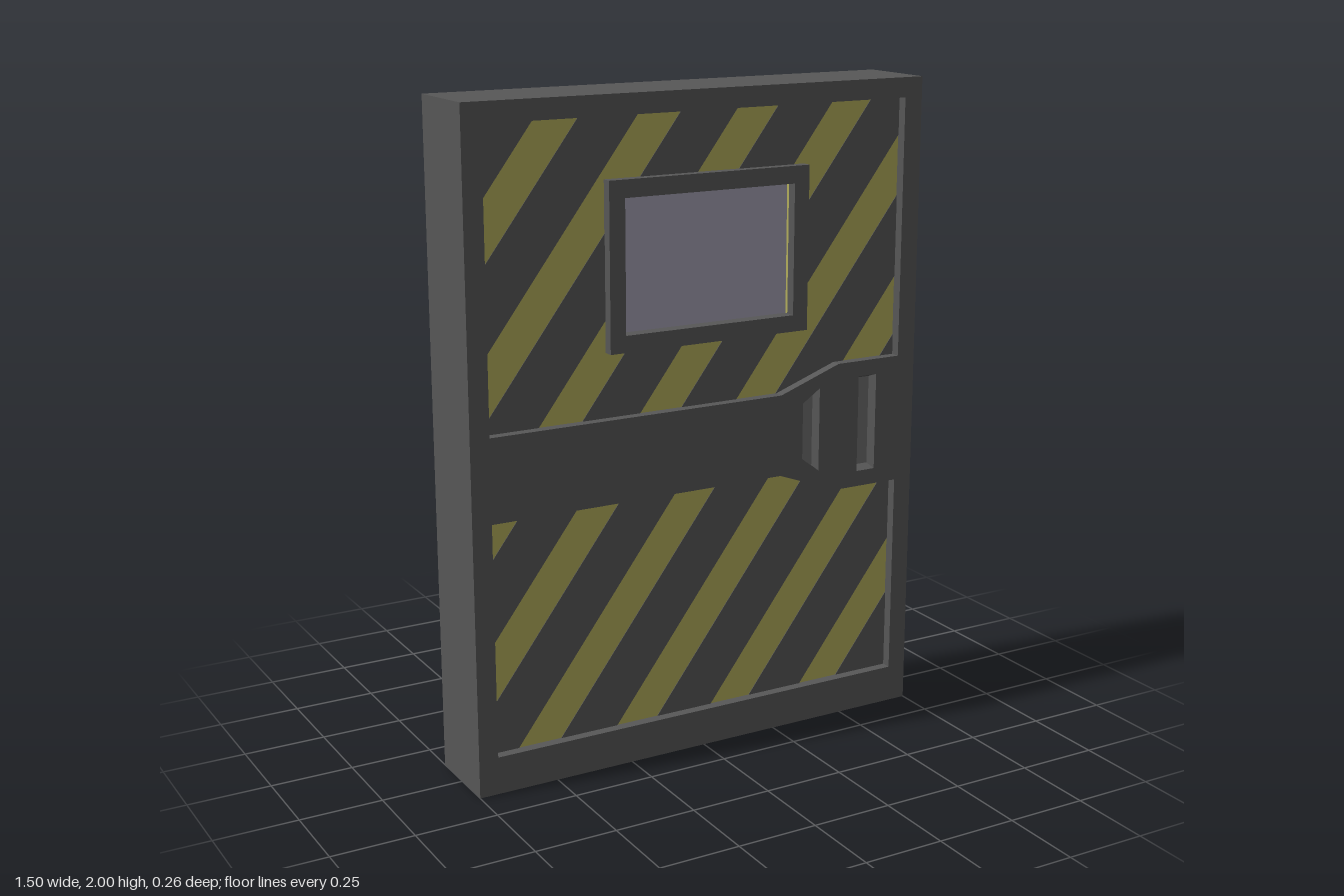
import * as THREE from 'three';

const material = (color) => new THREE.MeshStandardMaterial({ color, flatShading: true });
const grey = material(0x575757);
const slotGrey = material(0x6c6c6c);
const yellow = material(0xb2ad5b);
const glass = material(0xa29eb0);

// Depths measured from the middle of the slab
const FACE = 0.13, BAR = 0.1, SHEET_FRONT = 0.098, SHEET_BACK = 0.073, PANE = 0.088, SLOT = 0.1;

const points = (list) => list.map(([x, y]) => new THREE.Vector2(x, y));
const rect = (x0, x1, y0, y1) => [[x0, y0], [x1, y0], [x1, y1], [x0, y1]];

// Flat outline with holes, extruded between two depths
function slab(name, outline, holes, z0, z1, mat) {
  const shape = new THREE.Shape(points(outline));
  for (const hole of holes) shape.holes.push(new THREE.Path(points(hole)));
  const geometry = new THREE.ExtrudeGeometry(shape, { depth: z1 - z0, bevelEnabled: false });
  geometry.translate(0, 0, z0);
  const mesh = new THREE.Mesh(geometry, mat);
  mesh.name = name;
  return mesh;
}

// Keeps the part of a convex polygon where sign * p[axis] <= sign * limit
function clip(polygon, axis, limit, sign) {
  const out = [];
  polygon.forEach((a, i) => {
    const b = polygon[(i + 1) % polygon.length];
    const da = sign * (limit - a[axis]), db = sign * (limit - b[axis]);
    if (da >= 0) out.push(a);
    if (da * db < 0) {
      const t = da / (da - db);
      out.push([a[0] + t * (b[0] - a[0]), a[1] + t * (b[1] - a[1])]);
    }
  });
  return out;
}

// Slanted bars filling one rectangle, running through to both faces
function addBars(group, x0, x1, y0, y1, refX, refY) {
  const pitch = 0.325, width = 0.1875, slope = 1.33;
  for (let k = -6; k <= 8; k++) {
    const left = refX + k * pitch;
    const at = (y) => left + (y - refY) / slope;
    let bar = [[at(y0), y0], [at(y0) + width, y0], [at(y1) + width, y1], [at(y1), y1]];
    bar = clip(clip(bar, 0, x1, 1), 0, x0, -1);
    if (bar.length > 2) group.add(slab('hazardBar', bar, [], -BAR, BAR, grey));
  }
}

// Sloping walls from a slot's mouth down to its smaller floor, on one face
function slotWalls(mouth, floor, side) {
  const positions = [];
  mouth.forEach((a, i) => {
    const j = (i + 1) % mouth.length;
    const [A, B] = [[...a, side * FACE], [...mouth[j], side * FACE]];
    const [C, D] = [[...floor[j], side * SLOT], [...floor[i], side * SLOT]];
    positions.push(...A, ...B, ...C, ...A, ...C, ...D);
  });
  const geometry = new THREE.BufferGeometry();
  geometry.setAttribute('position', new THREE.Float32BufferAttribute(positions, 3));
  geometry.computeVertexNormals();
  const mesh = new THREE.Mesh(geometry, slotWallGrey);
  mesh.name = 'slotWalls';
  return mesh;
}
const slotWallGrey = new THREE.MeshStandardMaterial({ color: 0x575757, flatShading: true, side: THREE.DoubleSide });

export function createModel() {
  const model = new THREE.Group();
  model.name = 'door';

  // Outer rim
  const opening = rect(-0.69, 0.69, 0.115, 1.94);
  model.add(slab('rim', rect(-0.75, 0.75, 0, 2), [opening], -FACE, FACE, grey));

  // Middle band, wider around the handle
  const lowerEdge = [[-0.69, 0.823], [0.265, 0.823], [0.47, 0.748], [0.69, 0.748]];
  const upperEdge = [[0.69, 1.148], [0.47, 1.148], [0.265, 1.075], [-0.69, 1.075]];
  const slots = [
    [[0.343, 0.865], [0.403, 0.82], [0.403, 1.08], [0.343, 1.04]],
    rect(0.545, 0.61, 0.797, 1.1),
  ];
  model.add(slab('middleBand', [...lowerEdge, ...upperEdge], slots, -FACE, FACE, grey));

  // Shallow tapered finger slots on both faces
  for (const slot of slots) {
    const cx = (slot[0][0] + slot[1][0]) / 2, cy = 0.95;
    const floor = slot.map(([x, y]) => [cx + (x - cx) * 0.78, cy + (y - cy) * 0.92]);
    model.add(slab('slotFloor', floor, [], -SLOT, SLOT, slotGrey));
    for (const side of [1, -1]) model.add(slotWalls(slot, floor, side));
  }

  // Yellow sheets, nearly level with the bars in front and sunken at the back
  const pane = rect(-0.26, 0.302, 1.317, 1.71);
  const upperPanel = [...upperEdge, [-0.69, 1.94], [0.69, 1.94]];
  const lowerPanel = [...lowerEdge, [0.69, 0.115], [-0.69, 0.115]];
  model.add(slab('yellowSheet', upperPanel, [pane], -SHEET_BACK, SHEET_FRONT, yellow));
  model.add(slab('yellowSheet', lowerPanel, [], -SHEET_BACK, SHEET_FRONT, yellow));

  // Slanted bars, split around the window and clear of the slots
  const bars = new THREE.Group();
  bars.name = 'hazardBars';
  const upper = [
    [-0.69, -0.31, 1.07, 1.94], [0.352, 0.69, 1.105, 1.94],
    [-0.31, 0.352, 1.76, 1.94], [-0.31, 0.352, 1.07, 1.27],
  ];
  const lower = [[-0.69, 0.35, 0.115, 0.83], [0.35, 0.69, 0.115, 0.79]];
  for (const area of upper) addBars(bars, ...area, -0.387, 1.94);
  for (const area of lower) addBars(bars, ...area, -0.472, 0.115);
  model.add(bars);

  // Window
  model.add(slab('windowFrame', rect(-0.31, 0.352, 1.267, 1.762), [pane], -FACE, FACE, grey));
  model.add(slab('windowPane', pane, [], -PANE, PANE, glass));

  return model;
}
